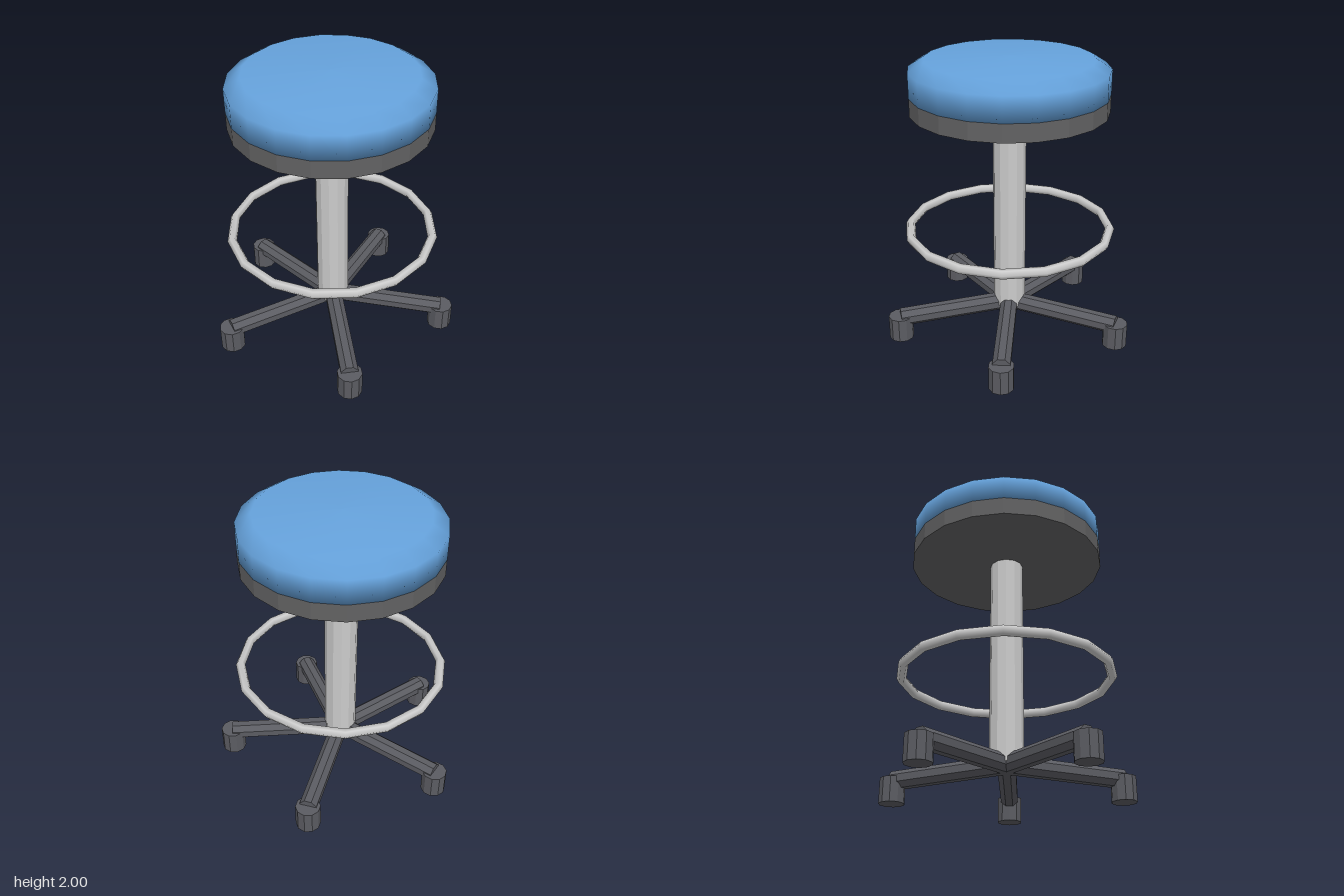
import * as THREE from 'three';

const AXIS_X = -0.077; // the five-star base is lopsided in x, so the column sits off centre

const paint = (color, flatShading = true) => new THREE.MeshStandardMaterial({ color, flatShading });

function addMesh(parent, name, geometry, material) {
  const mesh = new THREE.Mesh(geometry, material);
  mesh.name = name;
  parent.add(mesh);
  return mesh;
}

export function createModel() {
  const stool = new THREE.Group();
  stool.name = 'stool';
  const body = new THREE.Group();
  body.name = 'body';
  body.position.x = AXIS_X;
  stool.add(body);

  const metal = paint(0xcccccc);
  const smoothMetal = paint(0xcccccc, false);
  const plastic = paint(0x5b5c62);
  const basePaint = paint(0x626263);
  const fabric = paint(0x66a3dd, false);

  // Cushion: softly domed top with a bevelled rim
  const profile = [[0, 1.755], [0.665, 1.755], [0.665, 1.92], [0.56, 1.985], [0, 2]]
    .map(([r, y]) => new THREE.Vector2(r, y));
  addMesh(body, 'cushion', new THREE.LatheGeometry(profile, 20), fabric);

  // Rigid seat base
  addMesh(body, 'seatBase', new THREE.CylinderGeometry(0.665, 0.665, 0.12, 20), basePaint)
    .position.y = 1.695;

  // Column
  addMesh(body, 'column', new THREE.CylinderGeometry(0.113, 0.113, 1.46, 12), metal)
    .position.y = 0.91;

  // Foot ring
  const ring = addMesh(body, 'footRing', new THREE.TorusGeometry(0.702, 0.033, 6, 16), smoothMetal);
  ring.rotation.x = Math.PI / 2;
  ring.position.y = 0.785;

  // Five sloping legs, each ending on a foot
  const reach = 0.8, hubY = 0.187, tipY = 0.155;
  const length = Math.hypot(reach, hubY - tipY);
  const legGeometry = new THREE.CylinderGeometry(0.064, 0.064, length, 8)
    .rotateY(Math.PI / 8)
    .rotateZ(-Math.PI / 2)
    .translate(length / 2, 0, 0)
    .rotateZ(-Math.atan2(hubY - tipY, reach))
    .translate(0, hubY, 0);
  const footGeometry = new THREE.CylinderGeometry(0.086, 0.086, 0.17, 10)
    .rotateY(Math.PI / 2)
    .translate(0, 0.085, 0);
  for (let i = 0; i < 5; i++) {
    const angle = (i * 2 * Math.PI) / 5;
    addMesh(body, `leg${i + 1}`, legGeometry, plastic).rotation.y = angle;
    addMesh(body, `foot${i + 1}`, footGeometry, plastic)
      .position.set(Math.cos(angle) * reach, 0, -Math.sin(angle) * reach);
  }

  return stool;
}
